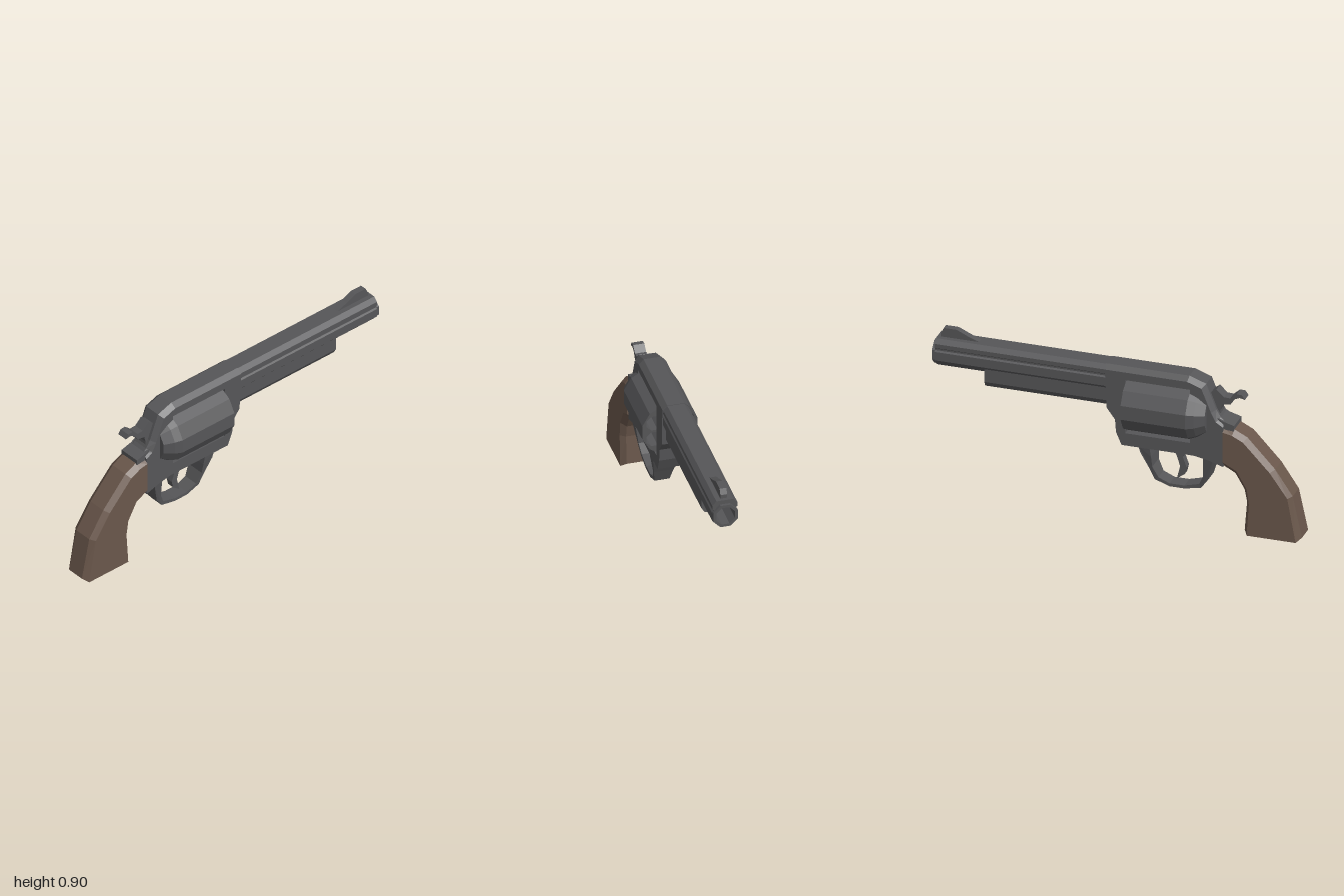
import * as THREE from 'three';

const metal = new THREE.MeshStandardMaterial({ color: 0x565658, flatShading: true });
metal.name = 'gunmetal';
const wood = new THREE.MeshStandardMaterial({ color: 0x6a574b, flatShading: true });
wood.name = 'walnut';

const vecs = (pts) => pts.map(([x, y]) => new THREE.Vector2(x, y));
const ngon = (cx, cy, r, n) =>
  Array.from({ length: n }, (_, i) => {
    const a = ((i + 0.5) / n) * Math.PI * 2;
    return [cx + r * Math.cos(a), cy + r * Math.sin(a)];
  });
const makeShape = (pts, holes = []) => {
  const shape = new THREE.Shape(vecs(pts));
  holes.forEach((h) => shape.holes.push(new THREE.Path(vecs(h))));
  return shape;
};

// Side profile extruded across z; edge(i) gives the outline point used on the outer faces
function slab(pts, half, core = half / 2, side = null, holes = []) {
  const geo = new THREE.ExtrudeGeometry(makeShape(pts, holes), { depth: 3, steps: 3, bevelEnabled: false });
  const levels = [-half, -core, core, half];
  const p = geo.attributes.position;
  for (let i = 0; i < p.count; i++) {
    const layer = Math.round(p.getZ(i));
    if (side && (layer === 0 || layer === 3)) {
      const x = p.getX(i), y = p.getY(i);
      const k = pts.findIndex((q) => Math.hypot(q[0] - x, q[1] - y) < 1e-5);
      if (k >= 0 && side[k]) p.setXY(i, side[k][0], side[k][1]);
    }
    p.setZ(i, levels[layer]);
  }
  geo.computeVertexNormals();
  return geo;
}

// Cross-section (z, y) extruded along x
function bar(pts, x0, x1, holes = []) {
  const geo = new THREE.ExtrudeGeometry(makeShape(pts, holes), { depth: x1 - x0, bevelEnabled: false });
  return geo.rotateY(Math.PI / 2).translate(x0, 0, 0);
}
const mirrored = (half) => [...half, ...half.map(([z, y]) => [-z, y]).reverse()];

export function createModel() {
  const model = new THREE.Group();
  const add = (name, geo, mat = metal) => {
    const mesh = new THREE.Mesh(geo, mat);
    mesh.name = name;
    model.add(mesh);
    return mesh;
  };

  // Frame with cylinder window; top and back edges are chamfered
  const frame = [
    [-0.58, 0.37], [-0.5, 0.395], [-0.42, 0.41], [-0.03, 0.41], [0.0, 0.48], [0.005, 0.55],
    [0.05, 0.61], [0.06, 0.852], [-0.39, 0.852], [-0.48, 0.82], [-0.535, 0.68], [-0.56, 0.64], [-0.58, 0.62],
  ];
  const frameSide = {
    7: [0.06, 0.828], 8: [-0.385, 0.828], 9: [-0.462, 0.8], 10: [-0.515, 0.67], 11: [-0.54, 0.62], 12: [-0.58, 0.595],
  };
  const windowHole = [[-0.4, 0.48], [-0.4, 0.785], [-0.05, 0.785], [-0.05, 0.48]];
  add('frame', slab(frame, 0.072, 0.045, frameSide, [windowHole]));
  add('backstrapTang', slab([[-0.58, 0.57], [-0.545, 0.64], [-0.575, 0.625], [-0.635, 0.608], [-0.635, 0.578]], 0.06));

  // Cylinder: tapered back, solid drum and bored front
  const cy = 0.633;
  const rear = new THREE.LatheGeometry(
    vecs([[0, -0.49], [0.105, -0.49], [0.138, -0.44], [0.153, -0.4], [0.153, -0.2], [0, -0.2]]), 12, Math.PI / 12);
  rear.rotateZ(-Math.PI / 2).translate(0, cy, 0);
  add('cylinderRear', rear);
  const chambers = [];
  for (let k = 0; k < 6; k++) {
    const a = Math.PI / 6 + (k * Math.PI) / 3;
    chambers.push(ngon(0.096 * Math.cos(a), cy + 0.096 * Math.sin(a), 0.045, 8));
  }
  add('cylinderFront', bar(ngon(0, cy, 0.153, 12), -0.2, -0.05, chambers));

  // Barrel with top rib, muzzle ring and rod housing
  const by = 0.762;
  const bore = ngon(0, by, 0.054, 8);
  const barrel = mirrored([
    [0.029, 0.692], [0.067, 0.732], [0.067, 0.78], [0.06, 0.788], [0.06, 0.797], [0.067, 0.803], [0.067, 0.826], [0.045, 0.849],
  ]);
  add('barrel', bar(barrel, 0.05, 0.985, [bore]));
  add('muzzle', bar(ngon(0, by, 0.07, 8), 0.985, 1, [bore]));
  add('rodHousing', bar(mirrored([[0.033, 0.613], [0.051, 0.642], [0.051, 0.72]]), 0.03, 0.72));

  // Front sight
  add('frontSight', slab([[0.75, 0.845], [0.965, 0.845], [0.965, 0.87], [0.95, 0.9], [0.88, 0.9], [0.82, 0.872]], 0.018));

  // Hammer with curled spur
  add('hammer', slab([
    [-0.5, 0.62], [-0.47, 0.74], [-0.5, 0.765], [-0.53, 0.788], [-0.57, 0.75], [-0.605, 0.748], [-0.64, 0.778],
    [-0.668, 0.776], [-0.684, 0.752], [-0.655, 0.758], [-0.63, 0.748], [-0.605, 0.712], [-0.56, 0.705], [-0.55, 0.67], [-0.555, 0.62],
  ], 0.03));

  // Trigger guard, widening towards the frame
  const guard = slab([
    [-0.525, 0.4], [-0.49, 0.27], [-0.45, 0.215], [-0.36, 0.197], [-0.28, 0.197], [-0.2, 0.225], [-0.168, 0.3],
    [-0.13, 0.38], [-0.12, 0.42], [-0.18, 0.42], [-0.187, 0.36], [-0.19, 0.3], [-0.22, 0.24], [-0.28, 0.214],
    [-0.36, 0.214], [-0.44, 0.236], [-0.465, 0.29], [-0.47, 0.42],
  ], 1);
  const gp = guard.attributes.position;
  for (let i = 0; i < gp.count; i++) {
    const t = THREE.MathUtils.clamp((gp.getY(i) - 0.23) / 0.17, 0, 1);
    gp.setZ(i, gp.getZ(i) * (0.04 + 0.03 * t));
  }
  guard.computeVertexNormals();
  add('triggerGuard', guard);

  // Trigger
  add('trigger', slab([
    [-0.365, 0.42], [-0.345, 0.365], [-0.365, 0.31], [-0.355, 0.27], [-0.313, 0.238],
    [-0.32, 0.27], [-0.33, 0.31], [-0.312, 0.37], [-0.28, 0.42],
  ], 0.02));

  // Grip with chamfered front and back straps
  const grip = [
    [-1, 0.02], [-0.69, 0.02], [-0.703, 0.18], [-0.69, 0.25], [-0.64, 0.335], [-0.575, 0.37],
    [-0.575, 0.59], [-0.635, 0.585], [-0.705, 0.55], [-0.855, 0.39], [-0.95, 0.25],
  ];
  const gripSide = [
    [-0.975, 0], [-0.71, 0], [-0.722, 0.18], [-0.71, 0.265], [-0.655, 0.36], [-0.58, 0.4],
    [-0.58, 0.57], [-0.63, 0.56], [-0.69, 0.53], [-0.835, 0.378], [-0.93, 0.245],
  ];
  add('grip', slab(grip, 0.079, 0.05, gripSide), wood);

  return model;
}
